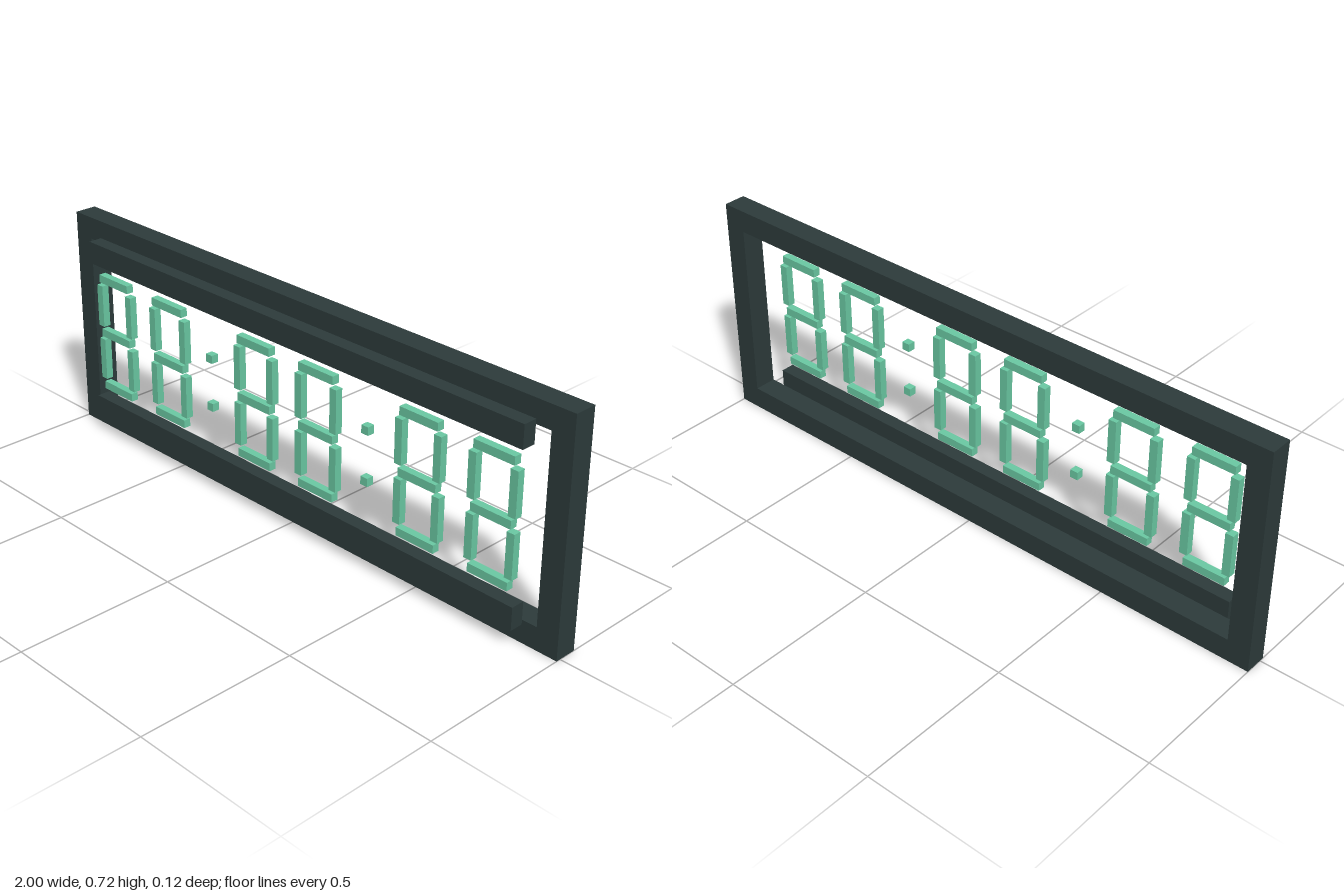
import * as THREE from 'three';

export function createModel() {
  const group = new THREE.Group();
  group.name = 'digitalClock';
  const casing = new THREE.MeshStandardMaterial({ color: 0x2d3b3b });
  casing.name = 'dark casing';
  const glow = new THREE.MeshStandardMaterial({ color: 0x6bcaa4 });
  glow.name = 'mint segment';

  const box = (parent, name, material, w, h, d, x, y, z) => {
    const mesh = new THREE.Mesh(new THREE.BoxGeometry(w, h, d), material);
    mesh.name = name;
    mesh.position.set(x, y, z);
    parent.add(mesh);
  };

  // Outer frame with a rectangular opening
  const W = 2, H = 0.722, B = 0.072;
  const outline = new THREE.Shape([[-1, 0], [1, 0], [1, H], [-1, H]].map(p => new THREE.Vector2(...p)));
  const ix = W / 2 - B;
  outline.holes.push(new THREE.Path([[-ix, B], [-ix, H - B], [ix, H - B], [ix, B]].map(p => new THREE.Vector2(...p))));
  const frame = new THREE.Mesh(new THREE.ExtrudeGeometry(outline, { depth: 0.072, bevelEnabled: false }), casing);
  frame.name = 'frame';
  frame.position.z = -0.058;
  group.add(frame);

  // Front rails overlapping the opening
  const mid = H / 2;
  box(group, 'topRail', casing, 1.757, 0.072, 0.045, 0, mid + 0.268, 0.0365);
  box(group, 'bottomRail', casing, 1.757, 0.072, 0.045, 0, mid - 0.268, 0.0365);

  // Six seven-segment digits
  const T = 0.026, D = 0.024, Z = 0.038;
  for (const x of [-0.78, -0.52, -0.13, 0.13, 0.52, 0.78]) {
    const digit = new THREE.Group();
    digit.name = 'digit';
    digit.position.set(x, mid, Z);
    for (const y of [-0.186, 0, 0.186]) box(digit, 'horizontalSegment', glow, 0.138, T, D, 0, y, 0);
    for (const sx of [-1, 1])
      for (const sy of [-1, 1])
        box(digit, 'verticalSegment', glow, T, 0.139, D, sx * 0.07, sy * 0.092, 0);
    group.add(digit);
  }

  // Colon dots
  for (const x of [-0.325, 0.325])
    for (const sy of [-1, 1]) box(group, 'colonDot', glow, T, T, D, x, mid + sy * 0.08, Z);

  return group;
}
